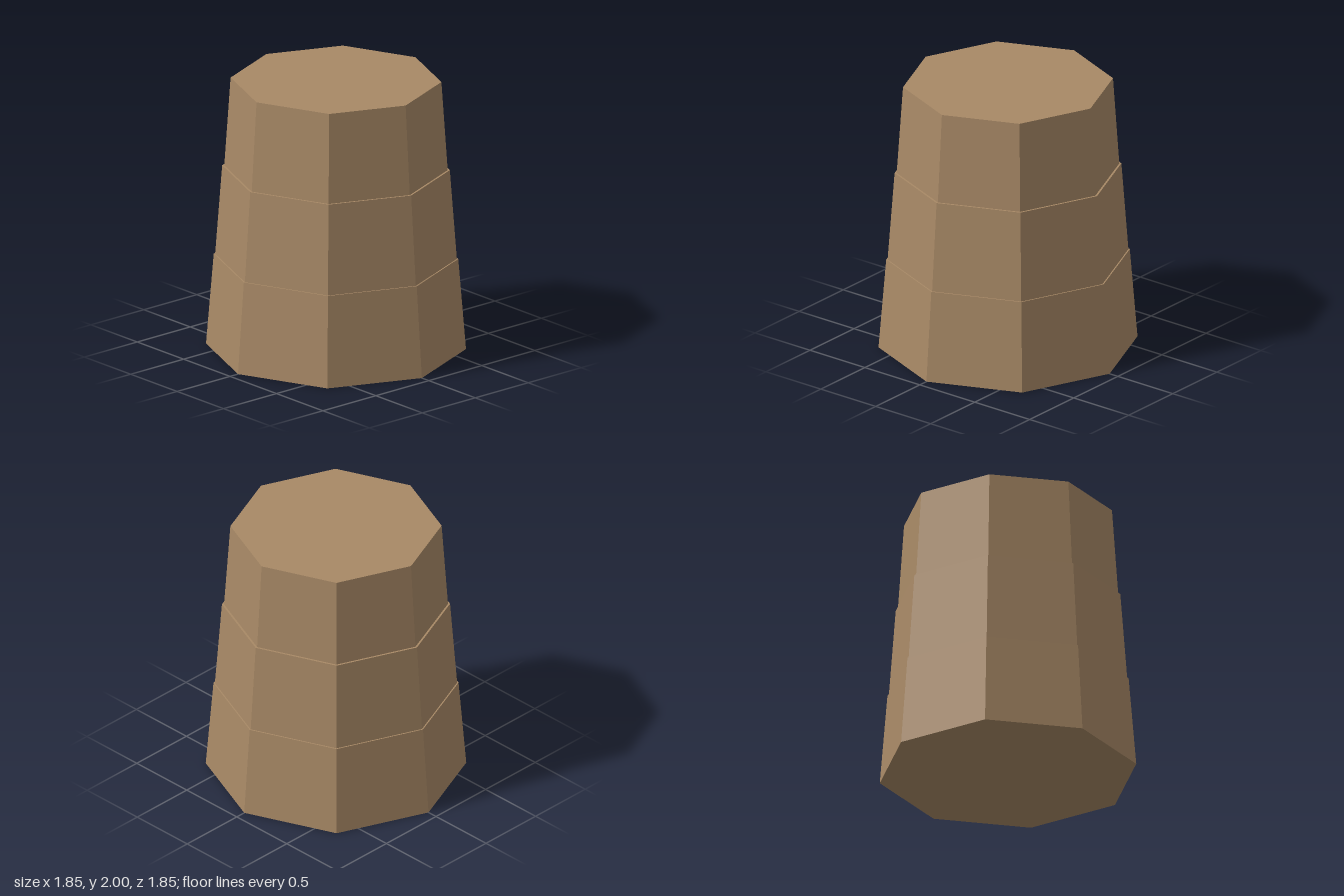
import * as THREE from 'three';

export function createModel() {
  const model = new THREE.Group();
  model.name = 'steppedTrunk';
  const bark = new THREE.MeshStandardMaterial({ color: 0xa88966, flatShading: true });
  bark.name = 'brown';

  // Stacked eight-sided tapered sections: [name, bottom y, top y, bottom radius, top radius]
  const sections = [
    ['lowerSection', 0, 0.675, 0.925, 0.87],
    ['middleSection', 0.675, 1.34, 0.86, 0.81],
    ['upperSection', 1.34, 2, 0.795, 0.75],
  ];
  for (const [name, y0, y1, r0, r1] of sections) {
    const geometry = new THREE.CylinderGeometry(r1, r0, y1 - y0, 8);
    const mesh = new THREE.Mesh(geometry, bark);
    mesh.name = name;
    mesh.position.y = (y0 + y1) / 2;
    model.add(mesh);
  }
  return model;
}
